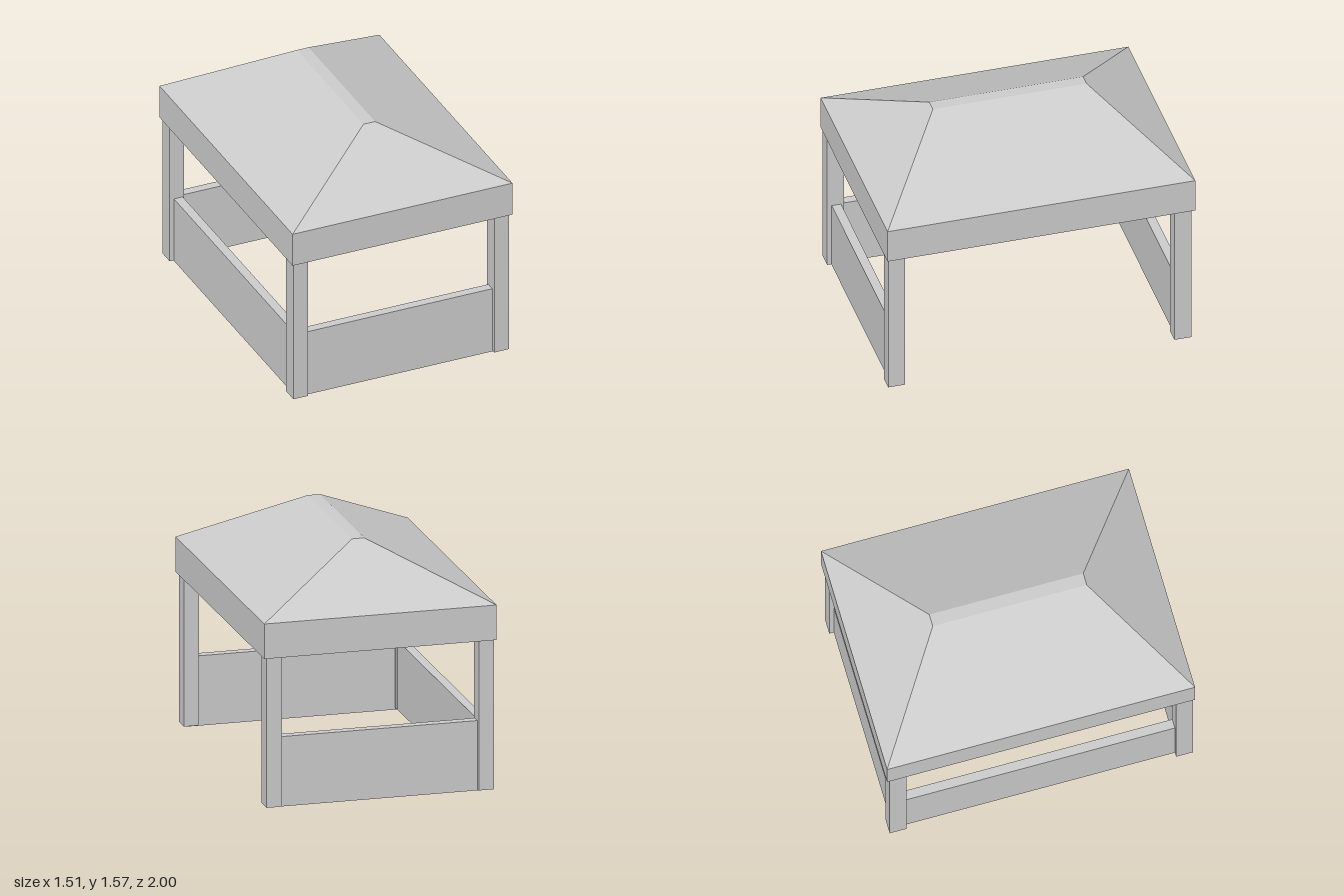
import * as THREE from 'three';

const material = new THREE.MeshStandardMaterial({ color: 0xcccccc, flatShading: true });

// Box given by its minimum and maximum corners
function box(name, [x0, y0, z0], [x1, y1, z1]) {
  const geometry = new THREE.BoxGeometry(x1 - x0, y1 - y0, z1 - z0);
  geometry.translate((x0 + x1) / 2, (y0 + y1) / 2, (z0 + z1) / 2);
  const mesh = new THREE.Mesh(geometry, material);
  mesh.name = name;
  return mesh;
}

// Rectangular ring at height y, ordered anticlockwise seen from above
const ring = (x, z, y) => [[-x, y, z], [x, y, z], [x, y, -z], [-x, y, -z]];

// Joins successive rings with flat quads
function loftRings(rings, closeAt) {
  const positions = [];
  const quad = (a, b, c, d) => positions.push(...a, ...b, ...c, ...a, ...c, ...d);
  for (let r = 0; r < rings.length - 1; r++) {
    if (r === closeAt) { // ridge: cap the outer skin and the inner skin
      quad(...rings[r]);
      quad(...[...rings[r + 1]].reverse());
      continue;
    }
    for (let i = 0; i < 4; i++) {
      const j = (i + 1) % 4;
      quad(rings[r][i], rings[r][j], rings[r + 1][j], rings[r + 1][i]);
    }
  }
  const geometry = new THREE.BufferGeometry();
  geometry.setAttribute('position', new THREE.Float32BufferAttribute(positions, 3));
  geometry.computeVertexNormals();
  return geometry;
}

export function createModel() {
  const group = new THREE.Group();
  const eaveX = 0.755, eaveZ = 1, eaveY = 1.213, bottomY = 0.985;
  const ridgeX = 0.04, ridgeZ = 0.5, ridgeY = 1.567;
  const t = 0.05;

  // Hollow hipped roof with its deep fascia: up the outside, down the inside
  const roof = new THREE.Mesh(loftRings([
    ring(eaveX, eaveZ, bottomY),
    ring(eaveX, eaveZ, eaveY),
    ring(ridgeX, ridgeZ, ridgeY),
    ring(ridgeX, ridgeZ, ridgeY - 0.03),
    ring(eaveX - t, eaveZ - t, eaveY - 0.005),
    ring(eaveX - t, eaveZ - t, bottomY),
    ring(eaveX, eaveZ, bottomY),
  ], 2), material);
  roof.name = 'hippedRoof';
  group.add(roof);

  // Corner posts, standing just inside the fascia and reaching the roof
  for (const [xName, x] of [['Right', -0.695], ['Left', 0.685]]) {
    for (const [zName, z] of [['front', 0.935], ['back', -0.925]]) {
      group.add(box(zName + xName + 'Post',
        [x - 0.05, 0.008, z - 0.055], [x + 0.05, 1.205, z + 0.055]));
    }
  }

  // Low wall panels on three sides; the left side stays open
  group.add(box('frontPanel', [-0.68, 0, 0.9], [0.7, 0.455, 0.96]));
  group.add(box('backPanel', [-0.68, 0, -0.95], [0.7, 0.455, -0.89]));
  group.add(box('rightPanel', [-0.715, 0.003, -0.9], [-0.655, 0.453, 0.91]));

  return group;
}
